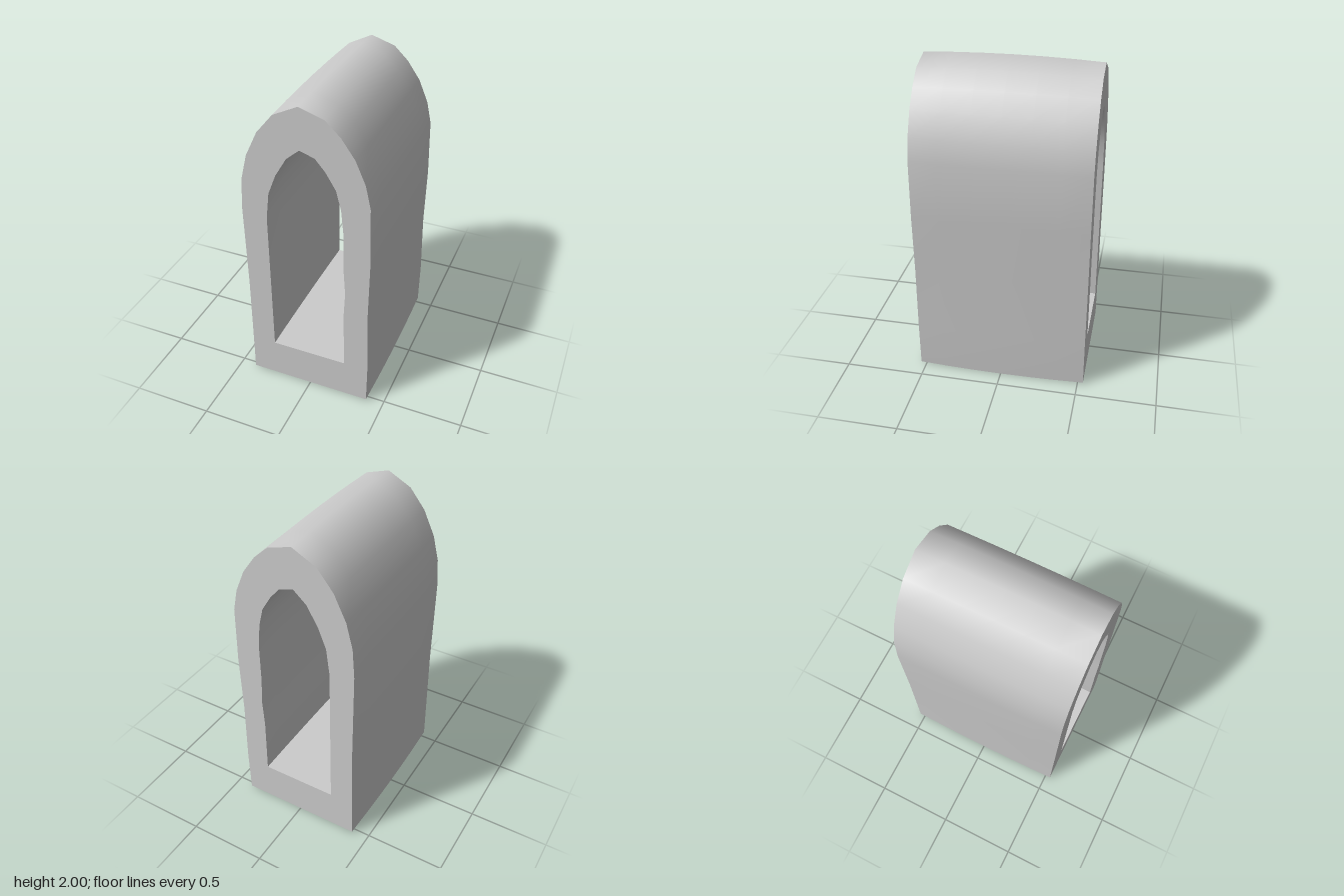
import * as THREE from 'three';
import { toCreasedNormals } from 'three/addons/utils/BufferGeometryUtils.js';

const DEPTH = 1.07;

const points = (pairs) => pairs.map(([x, y]) => new THREE.Vector2(x, y));

export function createModel() {
  const group = new THREE.Group();
  group.name = 'archedTunnel';

  // Outer outline: flat foot, slightly uneven walls, pointed arch
  const shape = new THREE.Shape(points([
    [-0.395, 0.01], [0.39, 0.01], [0.395, 0.3], [0.388, 0.72], [0.397, 1.1], [0.39, 1.46],
    [0.36, 1.6], [0.3, 1.74], [0.22, 1.86], [0.13, 1.95], [-0.02, 2],
    [-0.17, 1.92], [-0.27, 1.79], [-0.345, 1.63], [-0.385, 1.47], [-0.397, 1.28], [-0.39, 0.72],
  ]));

  // Passage: flat floor and a matching pointed arch
  shape.holes.push(new THREE.Path(points([
    [-0.24, 0.27], [-0.24, 1.24], [-0.22, 1.41], [-0.17, 1.54], [-0.1, 1.66], [-0.02, 1.73],
    [0.07, 1.7], [0.13, 1.63], [0.19, 1.53], [0.22, 1.41], [0.235, 1.24],
    [0.235, 1], [0.245, 0.83], [0.235, 0.65], [0.24, 0.27],
  ])));

  const geometry = new THREE.ExtrudeGeometry(shape, { depth: DEPTH, steps: 6, bevelEnabled: false });
  geometry.translate(0, 0, -DEPTH / 2);

  // Slight swelling of the walls, foot and ridge towards the middle of the length
  const p = geometry.attributes.position;
  for (let i = 0; i < p.count; i++) {
    const middle = 1 - (p.getZ(i) / (DEPTH / 2)) ** 2;
    const y = p.getY(i);
    p.setX(i, p.getX(i) * (1 + 0.015 * middle));
    if (y > 1.74) p.setY(i, y - 0.015 * (1 - middle) * (y - 1.74) / 0.26);
    if (y < 0.05) p.setY(i, y - 0.01 * middle);
  }

  const tunnel = new THREE.Mesh(
    toCreasedNormals(geometry, 0.85),
    new THREE.MeshStandardMaterial({ color: 0xcccccc }),
  );
  tunnel.name = 'archedBody';
  group.add(tunnel);
  return group;
}
